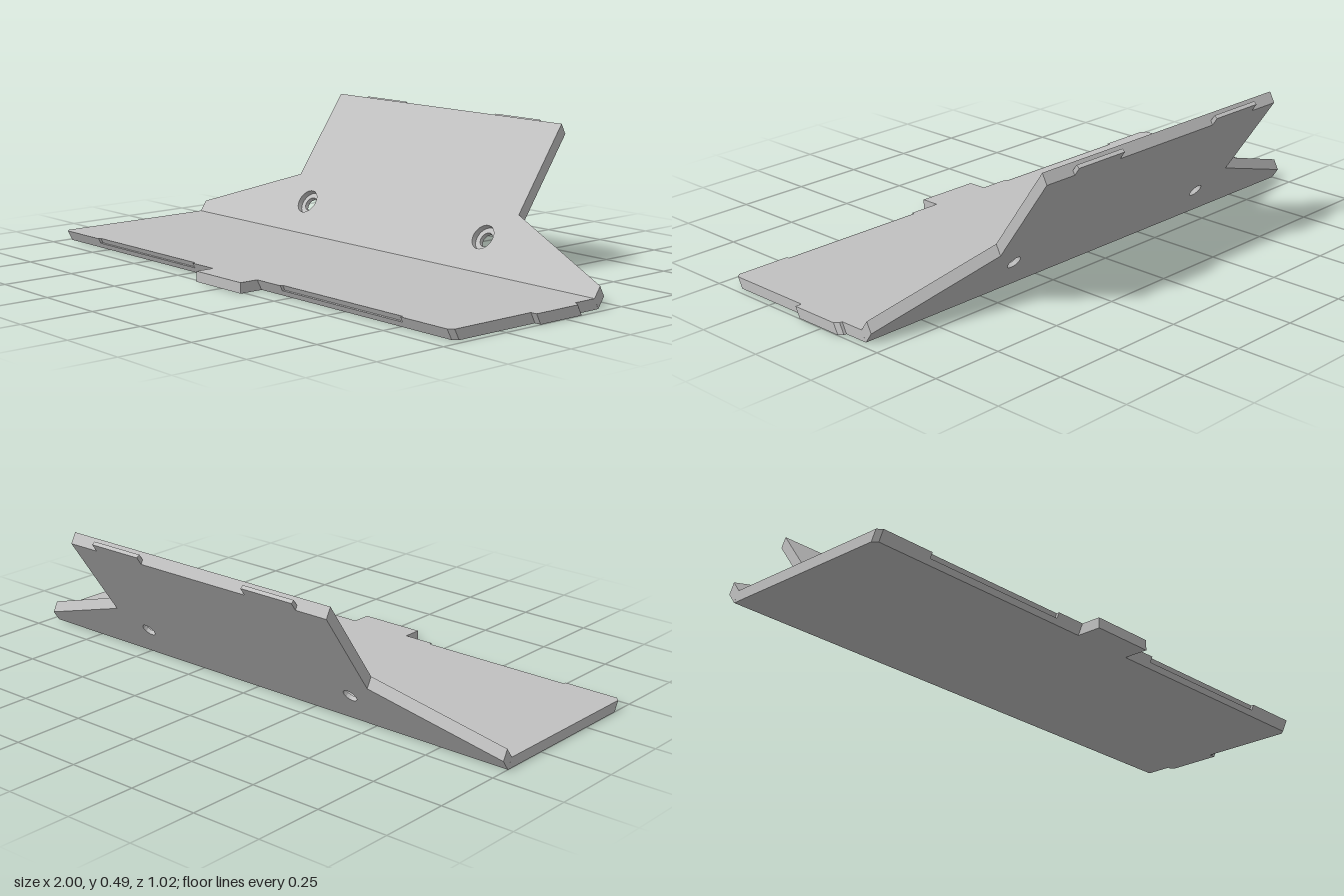
import * as THREE from 'three';
import { toCreasedNormals } from 'three/addons/utils/BufferGeometryUtils.js';

const T = 0.035;         // sheet thickness
const STEP = 0.02;       // depth where the front layer meets the back layer
const SHEAR = 0.018 / T; // slant of the cut edges
const HOLES = [[-0.455, 0.122], [0.43, 0.122]];

const grey = new THREE.MeshStandardMaterial({ color: 0xc0c0c0 });
grey.name = 'light grey';

// One layer of a sheet: local x/y is its plane, z its outward normal.
// Outline points lean with depth; hole walls stay perpendicular.
function layer(name, points, from, to, shear, holeRadius = 0) {
  const shape = new THREE.Shape(points.map(([x, y]) => new THREE.Vector2(x, y)));
  if (holeRadius) {
    for (const [x, y] of HOLES) {
      shape.holes.push(new THREE.Path().absarc(x, y, holeRadius, 0, Math.PI * 2, true));
    }
  }
  const geo = new THREE.ExtrudeGeometry(shape, { depth: to - from, bevelEnabled: false, curveSegments: 32 });
  geo.translate(0, 0, -to);
  const p = geo.attributes.position;
  for (let i = 0; i < p.count; i++) {
    const x = p.getX(i), y = p.getY(i);
    const onHole = holeRadius && HOLES.some(([hx, hy]) => Math.hypot(x - hx, y - hy) < holeRadius + 0.005);
    if (!onHole) p.setY(i, y + shear * p.getZ(i));
  }
  const mesh = new THREE.Mesh(toCreasedNormals(geo, 0.5), grey);
  mesh.name = name;
  return mesh;
}

function box(name, x0, x1, y0, y1, z0, z1) {
  const mesh = new THREE.Mesh(new THREE.BoxGeometry(x1 - x0, y1 - y0, z1 - z0), grey);
  mesh.position.set((x0 + x1) / 2, (y0 + y1) / 2, (z0 + z1) / 2);
  mesh.name = name;
  return mesh;
}

// Base outline, with optional shallow recesses along the front edge
function baseOutline(recessed) {
  const f = -0.447, r = -0.437;
  const recess = (a, b) => (recessed ? [[a, f], [a, r], [b, r], [b, f]] : []);
  return [
    [-1, f + 0.015], [-0.985, f],
    ...recess(-0.79, -0.24), ...recess(0.215, 0.765),
    [0.96, f], [0.975, f + 0.015],
    [0.975, -0.122], [0.998, -0.122], [0.998, 0.055], [0.985, 0.068], [0.975, 0.068], // side tab
    [0.975, 0.155], [-1, 0.155],
  ];
}

export function createModel() {
  const model = new THREE.Group();
  model.name = 'bentPanel';

  // Flat base
  const base = new THREE.Group();
  base.name = 'basePlate';
  base.position.y = T;
  base.rotation.x = -Math.PI / 2;
  base.add(layer('baseUpperLayer', baseOutline(true), 0, 0.017, -SHEAR));
  base.add(layer('baseLowerLayer', baseOutline(false), 0.017, T, -SHEAR));
  base.add(box('frontTab', -0.13, 0.1, -0.513, -0.4, -T, 0));
  model.add(base);

  // Sloped back panel with counterbored screw holes
  const back = new THREE.Group();
  back.name = 'backPanel';
  back.position.set(0, T, -0.155);
  back.rotation.x = -0.61;
  const outline = [
    [-1, 0], [0.975, 0], [0.975, 0.043], [0.535, 0.22],
    [0.535, 0.559], [-0.56, 0.559], [-0.56, 0.22], [-1, 0.043],
  ];
  back.add(layer('panelFrontLayer', outline, 0, STEP, SHEAR, 0.043));
  back.add(layer('panelBackLayer', outline, STEP, T, SHEAR, 0.025));
  for (const [a, b] of [[-0.44, -0.235], [0.21, 0.415]]) {
    back.add(box('topTab', a, b, 0.52, 0.573, -T, -T + 0.0137));
  }
  model.add(back);
  return model;
}
